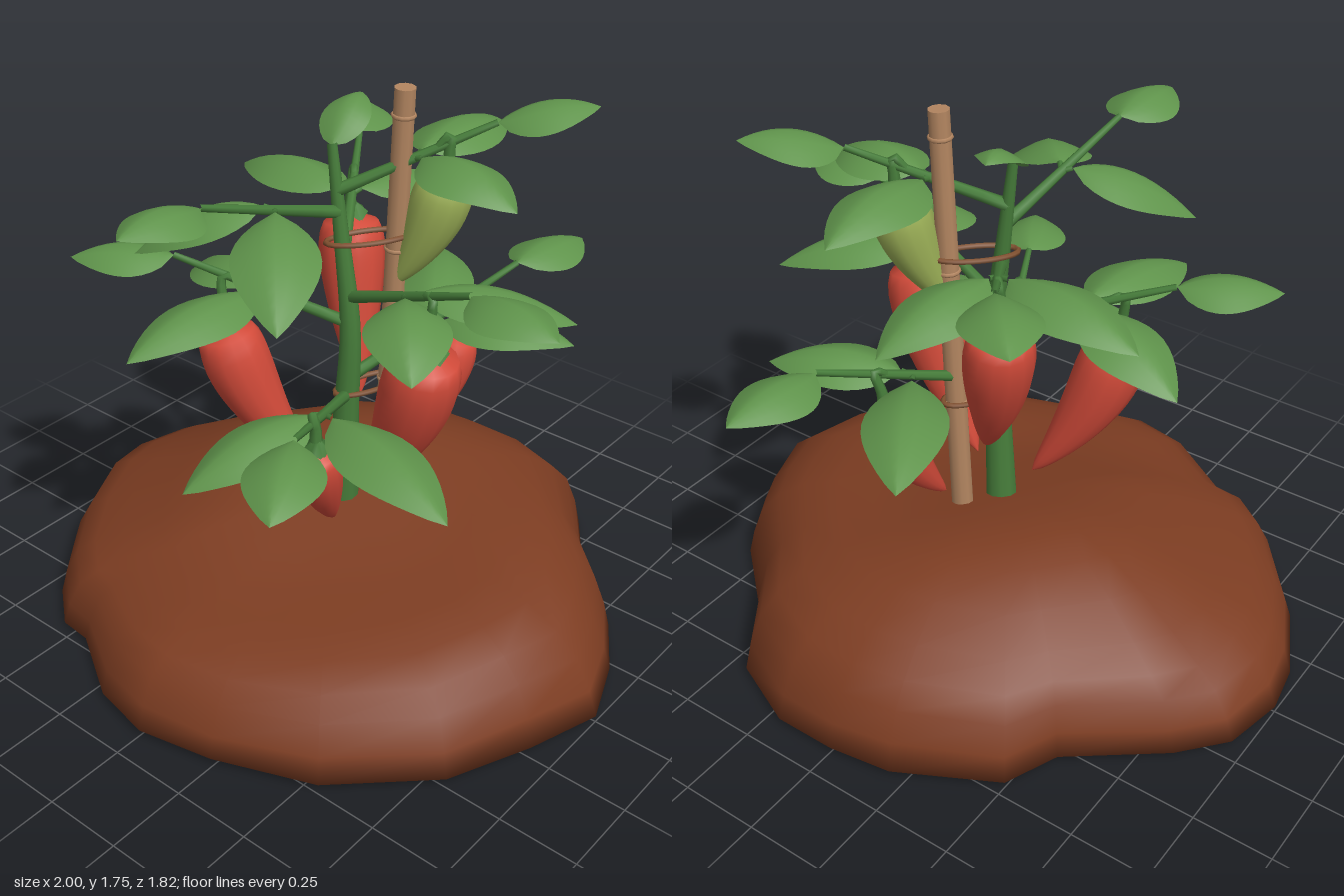
import * as THREE from 'three';

const V = (a) => new THREE.Vector3(...a);
const material = (name, color, extra = {}) => Object.assign(new THREE.MeshStandardMaterial({ color, ...extra }), { name });
const mats = {
  soil: material('soil brown', 0x7d3d22),
  stem: material('stem green', 0x467c3a),
  leaf: material('leaf green', 0x5f934b, { side: THREE.DoubleSide }),
  red: material('ripe red', 0xd14a39),
  unripe: material('unripe green', 0x9aae56),
  stake: material('cane tan', 0xb28560),
  tie: material('twine brown', 0x80502f),
};

function mesh(name, geometry, mat) {
  const m = new THREE.Mesh(geometry, mat);
  m.name = name;
  return m;
}

// Surface from rows of points; wrapped rows form closed rings
function grid(rows, cols, point, wrap) {
  const pos = [], index = [];
  for (let i = 0; i < rows; i++) for (let j = 0; j < cols; j++) pos.push(...point(i, j));
  for (let i = 0; i < rows - 1; i++) {
    for (let j = 0; j < (wrap ? cols : cols - 1); j++) {
      const k = (j + 1) % cols;
      const a = i * cols + j, b = i * cols + k, c = a + cols, d = b + cols;
      index.push(a, c, b, b, c, d);
    }
  }
  const g = new THREE.BufferGeometry();
  g.setAttribute('position', new THREE.Float32BufferAttribute(pos, 3));
  g.setIndex(index);
  g.computeVertexNormals();
  return g;
}

// Round sweep along a curve with a changing radius
function sweep(curve, radius, segments, sides) {
  const f = curve.computeFrenetFrames(segments);
  return grid(segments + 1, sides, (i, j) => {
    const t = i / segments, a = -j / sides * Math.PI * 2, r = radius(t);
    return curve.getPointAt(t)
      .addScaledVector(f.normals[i], Math.cos(a) * r)
      .addScaledVector(f.binormals[i], Math.sin(a) * r).toArray();
  }, true);
}

// Arched, pointed leaf with a folded midrib
function leaf(base, tip, width, arch) {
  const mid = base.clone().lerp(tip, 0.5);
  mid.y += arch;
  const line = new THREE.QuadraticBezierCurve3(base, mid, tip);
  const side = new THREE.Vector3(tip.z - base.z, 0, base.x - tip.x).normalize();
  const g = grid(13, 7, (i, j) => {
    const s = i / 12, u = (j - 3) / 3;
    const w = width / 2 * Math.max(0, Math.sin(Math.PI * Math.pow(s, 0.8))) ** 0.85;
    const p = line.getPoint(s).addScaledVector(side, u * w);
    p.y -= Math.abs(u) ** 1.4 * w * 0.45;
    return p.toArray();
  });
  return mesh('leaf', g, mats.leaf);
}

// Mound of earth: outline rings scaled inwards, higher at the back left
function soil() {
  const outline = [[0, -.91], [.2, -.91], [.43, -.81], [.6, -.57], [.81, -.385], [.92, -.21], [1, 0], [.925, .23],
    [.81, .49], [.545, .74], [.24, .86], [0, .91], [-.2, .87], [-.43, .73], [-.54, .72], [-.67, .615],
    [-.855, .39], [-.97, .16], [-1, 0], [-.96, -.2], [-.84, -.34], [-.57, -.55], [-.5, -.72], [-.2, -.88]];
  const rings = [[0, 0], [.86, 0], [1, .02], [.975, .1], [.93, .19], [.86, .245], [.76, .295],
    [.62, .34], [.48, .37], [.34, .39], [.18, .40], [0, .40]];
  const g = grid(rings.length, outline.length, (i, j) => {
    const [s, h] = rings[i], [ox, oz] = outline[j];
    const r = Math.hypot(ox, oz);
    // inner rings lose the notches of the rim
    const k = s * THREE.MathUtils.lerp(0.92 / r, 1, i < 3 ? 1 : s * s);
    const x = ox * k, z = oz * k;
    if (i < 3) return [x, h, z];
    const bump = Math.sin(x * 9 + z * 3) * Math.cos(z * 8 - x * 2) * 0.012 * s;
    const swell = Math.sin(Math.PI * s);
    const tilt = 0.058 * oz / r * swell + 0.028 * ox / r * (Math.sin(Math.PI * 2 * s ** 1.2) + 0.5 * swell);
    return [x, h + bump - tilt, z];
  }, true);
  return mesh('soilMound', g, mats.soil);
}

// Curved, tapered pepper with a lobed cap
function pepper(top, tip, r, mat) {
  const group = new THREE.Group();
  group.name = 'pepper';
  const mid = top.clone().lerp(tip, 0.2);
  mid.y = (top.y + tip.y) / 2;
  const curve = new THREE.QuadraticBezierCurve3(top, mid, tip);
  const profile = (t) => r * Math.max(0, Math.sin(Math.PI * Math.pow(t, 0.45))) ** 0.7;
  group.add(mesh('pepperBody', sweep(curve, profile, 18, 14), mat));

  const cap = new THREE.CylinderGeometry(0.016, r * 0.55, 0.045, 10, 1, true);
  const p = cap.attributes.position;
  for (let i = 0; i < p.count; i++) {
    if (p.getY(i) < 0) p.setY(i, (i % 11) % 2 ? -0.004 : -0.03);
  }
  cap.computeVertexNormals();
  const calyx = mesh('pepperCap', cap, mats.stem);
  const axis = top.clone().sub(mid).normalize();
  calyx.quaternion.setFromUnitVectors(new THREE.Vector3(0, 1, 0), axis);
  calyx.position.copy(top).addScaledVector(axis, 0.006);
  group.add(calyx);
  return group;
}

export function createModel() {
  const model = new THREE.Group();
  model.name = 'pepperPlant';
  model.add(soil());

  // Main stem
  const stemCurve = new THREE.CatmullRomCurve3([
    [.015, .34, -.01], [.035, .7, 0], [.05, 1, 0], [.015, 1.3, 0], [-.02, 1.58, 0]].map(V));
  model.add(mesh('mainStem', sweep(stemCurve, (t) => 0.052 - 0.037 * t, 20, 10), mats.stem));
  model.add(leaf(V([-.02, 1.57, 0]), V([-.07, 1.66, -.2]), 0.15, 0.1));

  // Branches: stem height, end of stalk, tip of end leaf, tips of the two side leaves,
  // then pepper top, pepper tip and pepper radius
  const branches = [
    { y: .72, end: [.28, .96, .52], tip: [.45, .91, .81], sides: [[.7, .79, .38], [0, .74, .68]],
      top: [.22, .83, .36], point: [.16, .48, .21], r: .072 },
    { y: .78, end: [.26, 1.07, -.57], tip: [.3, 1.05, -.89], sides: [[.56, .93, -.45], [-.16, .93, -.74]],
      top: [.17, .87, -.39], point: [.1, .48, -.19], r: .08 },
    { y: .98, end: [-.43, 1.19, .25], tip: [-.69, 1.17, .43], sides: [[-.6, 1.0, -.02], [-.26, 1.04, .62]],
      top: [-.28, .99, .2], point: [-.06, .48, .05], r: .105 },
    { y: 1.07, end: [.55, 1.32, .1], tip: [.86, 1.31, .15], sides: [[.68, 1.13, -.25], [.53, 1.13, .33]],
      top: [.4, 1.1, .08], point: [.13, .49, .02], r: .115 },
    { y: 1.2, end: [-.25, 1.43, -.41], tip: [-.46, 1.42, -.64], sides: [[-.6, 1.28, -.25], [-.01, 1.24, -.62]],
      top: [-.17, 1.23, -.27], point: [-.02, .68, -.14], r: .105 },
    { y: 1.35, end: [-.06, 1.54, .5], tip: [-.08, 1.54, .78], sides: [[.28, 1.3, .58], [-.36, 1.3, .47]] },
    { y: 1.42, end: [.34, 1.64, -.3], tip: [.55, 1.68, -.5], sides: [[.55, 1.49, -.1], [.16, 1.51, -.6]],
      top: [.24, 1.49, -.21], point: [.11, 1.12, -.12], r: .09, unripe: true },
  ];
  for (const b of branches) {
    const group = new THREE.Group();
    group.name = 'branch';
    const start = stemCurve.getPoint((b.y - 0.34) / 1.24);
    const end = V(b.end);
    const line = new THREE.LineCurve3(start, end);
    group.add(mesh('branchStalk', sweep(line, (t) => 0.02 - 0.01 * t, 6, 7), mats.stem));
    group.add(leaf(end, V(b.tip), 0.23, 0.08));
    for (const s of b.sides) {
      const tip = V(s), joint = line.getPoint(0.48);
      const base = joint.clone().lerp(tip, 0.08);
      base.y = joint.y + 0.01;
      group.add(mesh('leafStalk', sweep(new THREE.LineCurve3(joint, base), () => 0.009, 2, 6), mats.stem));
      group.add(leaf(base, tip, 0.25, 0.12));
    }
    if (b.top) {
      const top = V(b.top);
      const hook = new THREE.CatmullRomCurve3([line.getPoint(0.62),
        top.clone().lerp(line.getPoint(0.72), 0.6).add(V([0, .06, 0])), top.clone().add(V([0, .06, 0])), top]);
      group.add(mesh('pepperStalk', sweep(hook, (t) => 0.011 + 0.009 * t, 10, 7), mats.stem));
      group.add(pepper(top, V(b.point), b.r, b.unripe ? mats.unripe : mats.red));
    }
    model.add(group);
  }

  // Leaning support cane with ring nodes
  const foot = V([.08, .34, -.13]), head = V([.138, 1.745, -.13]);
  const cane = new THREE.Group();
  cane.name = 'supportCane';
  const length = foot.distanceTo(head);
  cane.add(mesh('caneShaft', new THREE.CylinderGeometry(0.032, 0.035, length, 10), mats.stake));
  for (const y of [0.62, 0.2, -0.25]) {
    const node = mesh('caneNode', new THREE.TorusGeometry(0.031, 0.007, 6, 12), mats.stake);
    node.rotation.x = Math.PI / 2;
    node.position.y = y;
    cane.add(node);
  }
  cane.position.copy(foot).lerp(head, 0.5);
  cane.quaternion.setFromUnitVectors(new THREE.Vector3(0, 1, 0), head.clone().sub(foot).normalize());
  model.add(cane);

  // Twine loops round stem and cane
  for (const y of [0.79, 1.285]) {
    const a = stemCurve.getPoint((y - 0.34) / 1.24), c = foot.clone().lerp(head, (y - 0.34) / 1.405);
    const along = c.clone().sub(a).setY(0);
    const half = along.length() / 2 + 0.045;
    along.normalize();
    const points = [];
    for (let i = 0; i < 16; i++) {
      const t = i / 16 * Math.PI * 2, u = Math.cos(t) * half, w = Math.sin(t) * 0.045;
      points.push(new THREE.Vector3((a.x + c.x) / 2 + along.x * u - along.z * w, y + u * 0.05,
        (a.z + c.z) / 2 + along.z * u + along.x * w));
    }
    model.add(mesh('twineTie', new THREE.TubeGeometry(new THREE.CatmullRomCurve3(points, true), 32, 0.009, 6, true), mats.tie));
  }
  return model;
}
